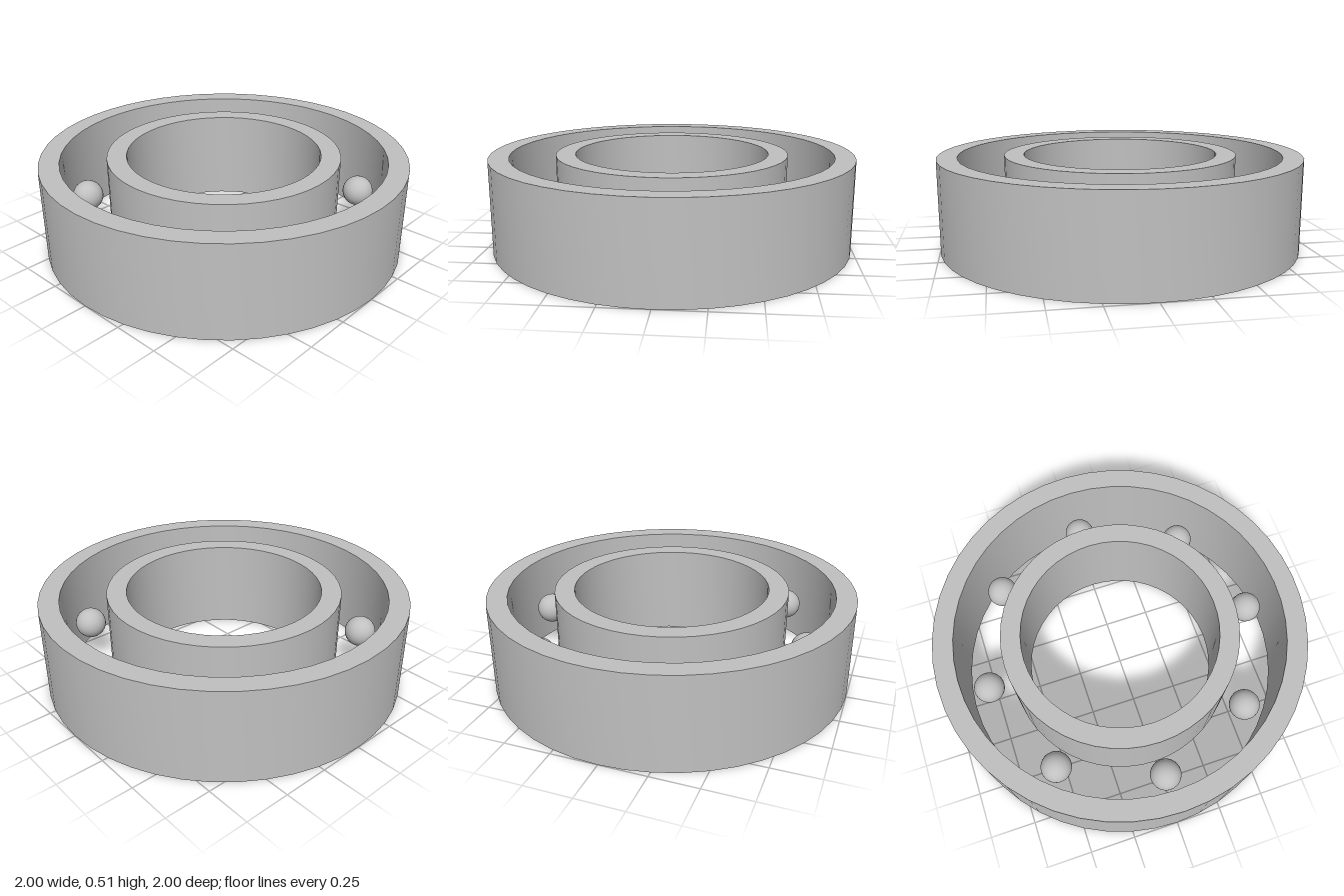
import * as THREE from 'three';
import { toCreasedNormals } from 'three/addons/utils/BufferGeometryUtils.js';

const HEIGHT = 0.51;
const BALL_COUNT = 8;
const BALL_RADIUS = 0.084;
const BALL_ORBIT = 0.765;

// Rectangular section revolved about y, with sharp rims
function ringGeometry(inner, outer) {
  const profile = [
    [outer, 0], [outer, HEIGHT], [inner, HEIGHT], [inner, 0], [outer, 0],
  ].map(([r, y]) => new THREE.Vector2(r, y));
  return toCreasedNormals(new THREE.LatheGeometry(profile, 48), 0.6);
}

export function createModel() {
  const model = new THREE.Group();
  model.name = 'ballBearing';

  const steel = new THREE.MeshStandardMaterial({ color: 0xc0c0c0 });
  steel.name = 'steel grey';

  const add = (name, geometry) => {
    const mesh = new THREE.Mesh(geometry, steel);
    mesh.name = name;
    model.add(mesh);
    return mesh;
  };

  // Concentric races
  add('outerRace', ringGeometry(0.89, 1));
  add('innerRace', ringGeometry(0.533, 0.64));

  // Balls floating evenly between the races
  const ballGeometry = new THREE.SphereGeometry(BALL_RADIUS, 32, 20);
  for (let i = 0; i < BALL_COUNT; i++) {
    const a = (i / BALL_COUNT) * Math.PI * 2;
    add(`ball${i + 1}`, ballGeometry)
      .position.set(Math.cos(a) * BALL_ORBIT, HEIGHT / 2, Math.sin(a) * BALL_ORBIT);
  }

  return model;
}
